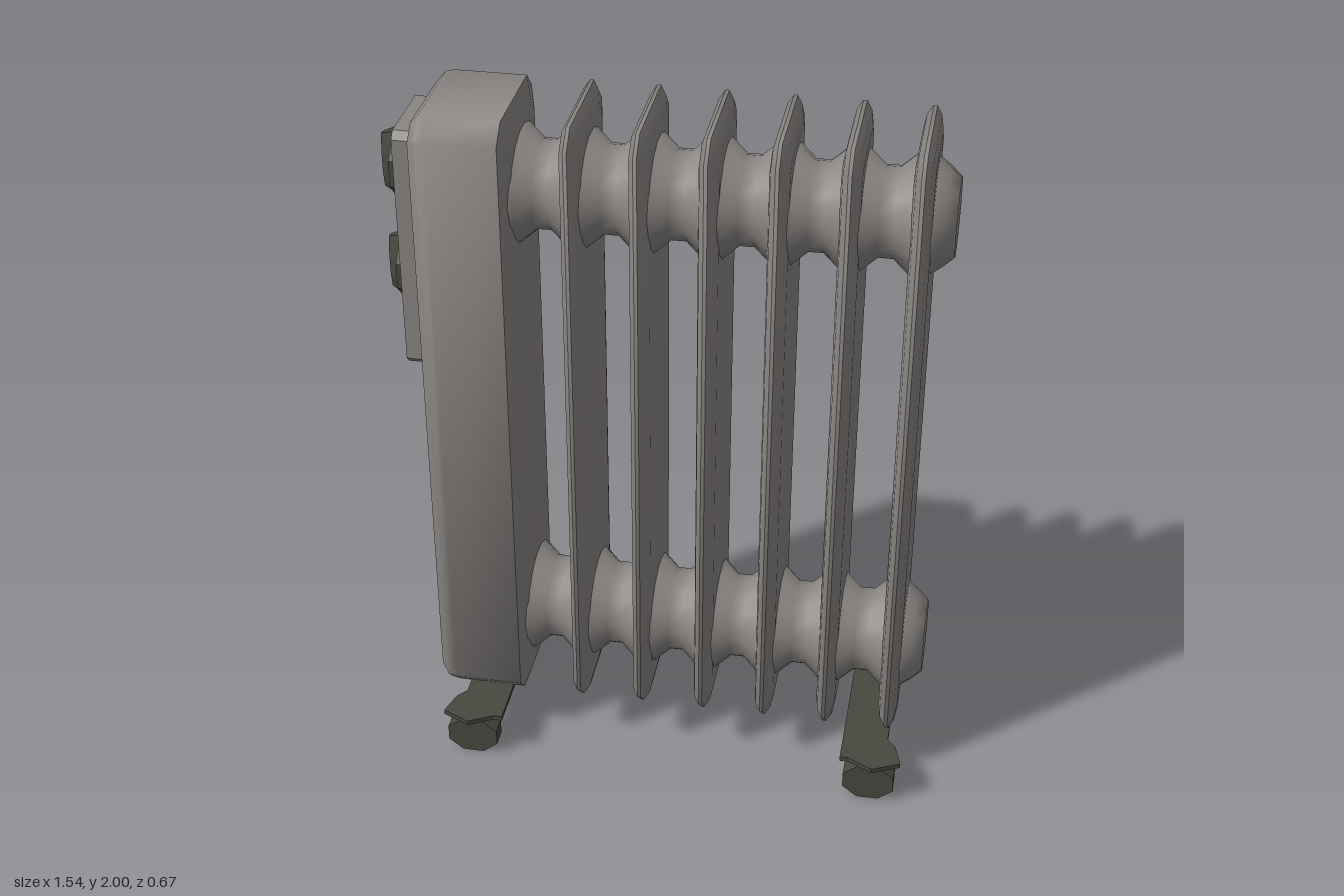
import * as THREE from 'three';
import { toCreasedNormals } from 'three/addons/utils/BufferGeometryUtils.js';

const bodyGrey = new THREE.MeshStandardMaterial({ color: 0x8a8683, name: 'bodyGrey' });
const darkGrey = new THREE.MeshStandardMaterial({ color: 0x47483f, name: 'darkGrey' });

// Rectangle in (y, z) with chamfered corners
function rect(hy, hz, c) {
  return [[hy, c - hz], [hy, hz - c], [hy - c, hz], [c - hy, hz],
    [-hy, hz - c], [-hy, c - hz], [c - hy, -hz], [hy - c, -hz]];
}

// Ellipse in (y, z)
function ellipse(ry, rz, n) {
  return Array.from({ length: n }, (_, i) => {
    const a = ((i + 0.5) / n) * Math.PI * 2;
    return [Math.cos(a) * ry, Math.sin(a) * rz];
  });
}

// Closed solid through cross-sections [x, points] ordered by rising x
function loft(rings, crease = 0.7) {
  const pos = [], idx = [], n = rings[0][1].length;
  for (const [x, pts] of rings) for (const [y, z] of pts) pos.push(x, y, z);
  for (let i = 0; i < rings.length - 1; i++) {
    for (let j = 0; j < n; j++) {
      const a = i * n + j, b = i * n + ((j + 1) % n);
      idx.push(a, b, a + n, b, b + n, a + n);
    }
  }
  const last = (rings.length - 1) * n;
  for (let j = 1; j < n - 1; j++) {
    idx.push(0, j + 1, j, last, last + j, last + j + 1);
  }
  const g = new THREE.BufferGeometry();
  g.setAttribute('position', new THREE.Float32BufferAttribute(pos, 3));
  g.setIndex(idx);
  g.computeVertexNormals();
  return toCreasedNormals(g, crease);
}

export function createModel() {
  const model = new THREE.Group();
  model.name = 'oilRadiator';
  const add = (name, geo, mat, x = 0, y = 0, z = 0) => {
    const m = new THREE.Mesh(geo, mat);
    m.name = name;
    m.position.set(x, y, z);
    model.add(m);
    return m;
  };

  const midY = 1.075, halfY = 0.925, halfZ = 0.2;
  const finX = [-0.228, -0.047, 0.135, 0.316, 0.498, 0.68];
  const pipeY = [1.76, 0.39];
  const inset = (d) => rect(halfY - d, halfZ - d, 0.05 - d * 0.3);

  // Heating fins, thin towards the rim
  const finGeo = loft([
    [-0.027, inset(0.055)], [-0.02, inset(0.02)], [-0.005, inset(0)],
    [0.005, inset(0)], [0.02, inset(0.02)], [0.027, inset(0.055)],
  ], 0.9);
  finX.forEach((x, i) => add(`fin${i + 1}`, finGeo, bodyGrey, x, midY));

  // Control housing
  add('controlHousing', loft([
    [-0.65, inset(0.03)], [-0.625, inset(0.003)], [-0.6, inset(0)],
    [-0.405, inset(0)], [-0.385, inset(0.06)],
  ], 0.9), bodyGrey, 0, midY);

  // Pipes flaring out where they meet the fins
  const ring = (x, r) => [x, ellipse(r, r, 18)];
  const starts = [-0.41, ...finX.slice(0, -1)];
  for (const y of pipeY) {
    starts.forEach((x0, i) => {
      const x1 = finX[i], mid = (x0 + x1) / 2;
      add(`pipe${i + 1}`, loft([
        ring(x0, 0.165), ring(x0 + 0.026, 0.162), ring(mid - 0.02, 0.122),
        ring(mid + 0.02, 0.122), ring(x1 - 0.026, 0.162), ring(x1, 0.165),
      ], 0.9), bodyGrey, 0, y);
    });
    // Rounded boss on the last fin
    add('endBoss', loft([
      ring(0.68, 0.165), ring(0.705, 0.155), ring(0.737, 0.132), ring(0.767, 0.105),
    ], 0.9), bodyGrey, 0, y);
  }

  // Control panel and its two knobs with a ridge grip
  add('controlPanel', loft([
    [-0.705, rect(0.35, 0.13, 0.02)], [-0.645, rect(0.35, 0.13, 0.02)],
  ], 0.5), bodyGrey, 0, 1.585);
  const knobGeo = loft([
    [-0.77, ellipse(0.084, 0.017, 8)], [-0.733, ellipse(0.098, 0.05, 8)],
    [-0.73, ellipse(0.098, 0.097, 8)], [-0.7, ellipse(0.095, 0.097, 8)],
  ], 0.6);
  add('upperKnob', knobGeo, darkGrey, 0, 1.795);
  add('lowerKnob', knobGeo, darkGrey, 0, 1.487);

  // Feet: a flat plate with flared ends and two castors each
  const half = [[-0.085, 0.295], [-0.06, 0.295], [0.01, 0.333], [0.09, 0.295],
    [0.07, 0.225], [0.045, 0.195]];
  const outline = [...half, ...half.map(([x, z]) => [x, -z]).reverse()];
  const wheelGeo = toCreasedNormals(
    new THREE.CylinderGeometry(0.0622, 0.0622, 0.055, 8)
      .rotateY(Math.PI / 8).rotateX(Math.PI / 2).scale(1.28, 1, 1), 0.8);
  for (const side of [-1, 1]) {
    const name = side > 0 ? 'left' : 'right';
    const cx = side > 0 ? 0.645 : -0.527;
    const shape = new THREE.Shape(outline.map(([x, z]) => new THREE.Vector2(x * side, z)));
    const plate = new THREE.ExtrudeGeometry(shape, { depth: 0.015, bevelEnabled: false });
    plate.rotateX(Math.PI / 2);
    add(`${name}FootPlate`, plate, darkGrey, cx, 0.145);
    for (const z of [-0.265, 0.265]) {
      add(`${name}Castor`, wheelGeo, darkGrey, side > 0 ? 0.645 : -0.535, 0.0575, z);
    }
  }
  return model;
}
